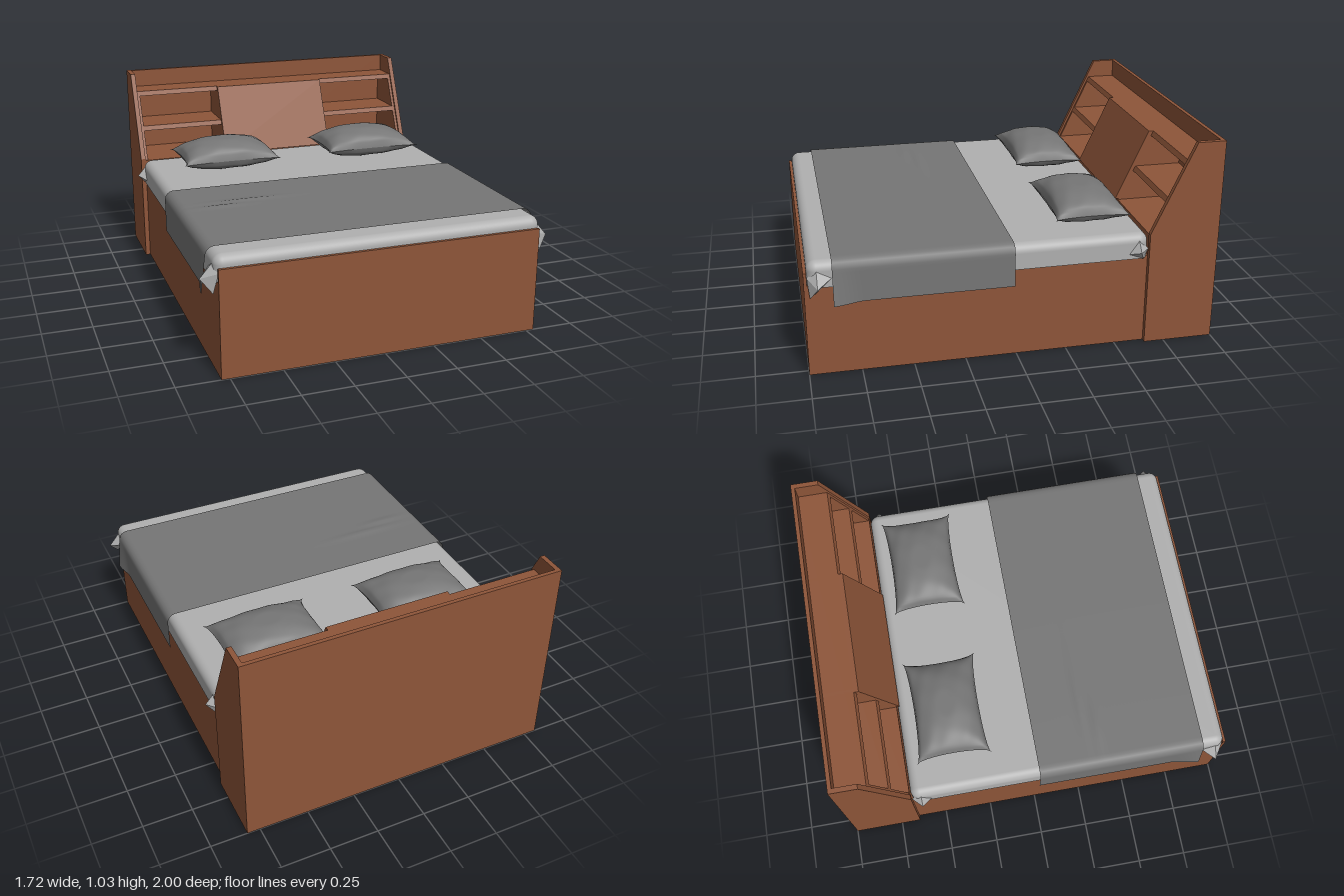
import * as THREE from 'three';
import { RoundedBoxGeometry } from 'three/addons/geometries/RoundedBoxGeometry.js';

const material = (name, color, side = THREE.FrontSide) => {
  const m = new THREE.MeshStandardMaterial({ color, side });
  m.name = name;
  return m;
};

export function createModel() {
  const wood = material('wood', 0x8e5539);
  const sheetWhite = material('sheet', 0xb0b0b0, THREE.DoubleSide);
  const grey = material('grey cloth', 0x767676, THREE.DoubleSide);
  const bed = new THREE.Group();
  bed.name = 'bed';

  const add = (name, geometry, mat, parent = bed) => {
    const mesh = new THREE.Mesh(geometry, mat);
    mesh.name = name;
    parent.add(mesh);
    return mesh;
  };
  const box = (name, x0, x1, y0, y1, z0, z1, parent) => {
    const g = new THREE.BoxGeometry(x1 - x0, y1 - y0, z1 - z0);
    g.translate((x0 + x1) / 2, (y0 + y1) / 2, (z0 + z1) / 2);
    return add(name, g, wood, parent);
  };
  // Side profile of [z, y] points, extruded from x0 to x1
  const slab = (name, profile, x0, x1, parent) => {
    const shape = new THREE.Shape(profile.map(([z, y]) => new THREE.Vector2(z, y)));
    const g = new THREE.ExtrudeGeometry(shape, { depth: x1 - x0, bevelEnabled: false });
    g.rotateY(-Math.PI / 2).translate(x1, 0, 0);
    return add(name, g, wood, parent);
  };
  // Cloth surface: u and v run from -1 to 1
  const cloth = (nu, nv, fn) => {
    const g = new THREE.PlaneGeometry(2, 2, nu, nv);
    const p = g.attributes.position;
    for (let i = 0; i < p.count; i++) p.setXYZ(i, ...fn(p.getX(i), p.getY(i)));
    g.computeVertexNormals();
    return g;
  };

  // Base and footboard
  box('base', -0.79, 0.79, 0, 0.46, -0.655, 0.985);
  box('footboard', -0.79, 0.79, 0, 0.525, 0.985, 1);

  // Headboard with a sloping front and open shelves
  const head = new THREE.Group();
  head.name = 'headboard';
  bed.add(head);
  const slope = y => -0.65 - 0.467 * (y - 0.58);
  const inset = y => slope(y) - 0.013;
  box('headboardBase', -0.79, 0.79, 0, 0.57, -0.98, -0.655, head);
  box('backPanel', -0.79, 0.79, 0, 1.03, -1, -0.98, head);
  const sideProfile = [[-1, 0], [-0.65, 0], [-0.65, 0.58], [-0.86, 1.03], [-1, 1.03]];
  const bodyProfile = [[-0.98, 0.57], [inset(0.57), 0.57], [inset(0.935), 0.935], [-0.98, 0.935]];
  for (const s of [-1, 1]) {
    const span = (a, b) => (s > 0 ? [a, b] : [-b, -a]);
    slab('sidePanel', sideProfile, ...span(0.79, 0.815), head);
    slab('shelfLiner', bodyProfile, ...span(0.775, 0.79), head);
    slab('divider', bodyProfile, ...span(0.3, 0.318), head);
  }
  for (const [y0, y1] of [[0.725, 0.75], [0.91, 0.935]])
    slab('shelf', [[-0.98, y0], [inset(y0), y0], [inset(y1), y1], [-0.98, y1]], -0.775, 0.775, head);
  slab('centrePanel', [[-0.67, 0.575], [-0.64, 0.575], [-0.805, 0.935], [-0.835, 0.935]], -0.318, 0.318, head);

  // Mattress in its sheet, cut flat underneath
  const mattress = new RoundedBoxGeometry(1.61, 0.2, 1.635, 6, 0.045);
  mattress.translate(0, 0.48, 0.1675);
  const mp = mattress.attributes.position;
  for (let i = 0; i < mp.count; i++) mp.setY(i, Math.max(mp.getY(i), 0.455));
  add('mattress', mattress, sheetWhite);

  // Loose sheet folds at the four corners
  const fold = (name, side, pts) => {
    const g = new THREE.BufferGeometry();
    g.setAttribute('position', new THREE.Float32BufferAttribute(pts.flatMap(([x, y, z]) => [x * side, y, z]), 3));
    const tris = [0, 4, 1, 4, 2, 1, 0, 1, 3, 1, 2, 3];
    g.setIndex(side > 0 ? tris : tris.reverse());
    const flat = g.toNonIndexed();
    flat.computeVertexNormals();
    add(name, flat, sheetWhite);
  };
  for (const s of [-1, 1]) {
    fold('frontCornerFold', s, [
      [0.77, 0.577, 0.94], [0.862, 0.47, 0.94], [0.81, 0.405, 0.975], [0.803, 0.5, 0.87], [0.785, 0.5, 0.984]]);
    fold('backCornerFold', s, [
      [0.785, 0.57, -0.6], [0.845, 0.5, -0.6], [0.8, 0.45, -0.625], [0.803, 0.48, -0.55], [0.795, 0.5, -0.65]]);
  }

  // Throw blanket: flat top, rounded edges and hanging sides
  const flatHalf = 0.772, r = 0.045, top = 0.588, hang = 0.168;
  const arc = r * Math.PI / 2, half = flatHalf + arc + hang;
  const blanket = cloth(120, 48, (u, v) => {
    const s = Math.abs(u) * half, z = 0.4425 - v * 0.4275;
    let x = s, y = top;
    if (s > flatHalf + arc) {
      const d = s - flatHalf - arc;
      x = flatHalf + r;
      y = top - r - d;
      const flare = THREE.MathUtils.smoothstep(z, 0.72, 0.87) * d / hang;
      x += 0.022 * flare;
      y -= 0.006 * flare;
    } else if (s > flatHalf) {
      const a = (s - flatHalf) / r;
      x = flatHalf + r * Math.sin(a);
      y = top - r * (1 - Math.cos(a));
    }
    x *= Math.sign(u);
    // two faint creases
    for (const [cx, cz, w] of [[-0.46, 0.28, 0.2], [-0.6, 0.345, 0.12]])
      y += 0.007 * Math.exp(-(((x - cx) / w) ** 2) - ((z - cz) / 0.018) ** 2);
    return [x, y, z];
  });
  add('throwBlanket', blanket, grey);

  // Pillows with pulled corners and soft wrinkles
  const pillowHalf = (dir, height) => cloth(40, 32, (u, v) => {
    const a = u * dir;
    const edgeU = 1 - u * u, edgeV = 1 - v * v;
    const x = a * (0.272 - 0.03 * Math.sqrt(edgeV) * u * u);
    const z = -v * (0.19 - 0.025 * Math.sqrt(edgeU) * v * v);
    const puff = Math.pow(edgeU * edgeV, 0.5);
    const wrinkle = 0.006 * puff * Math.sin(a * 9 + v * 4) * Math.sin(v * 8 - a * 3) * (u * u + v * v);
    return [x, dir * (height * Math.min(1, puff * 1.04) + wrinkle), z];
  });
  for (const x of [-0.387, 0.433]) {
    const pillow = new THREE.Group();
    pillow.name = 'pillow';
    add('pillowTop', pillowHalf(1, 0.094), grey, pillow);
    add('pillowUnderside', pillowHalf(-1, 0.066), grey, pillow);
    pillow.position.set(x, 0.642, -0.4);
    bed.add(pillow);
  }

  return bed;
}
